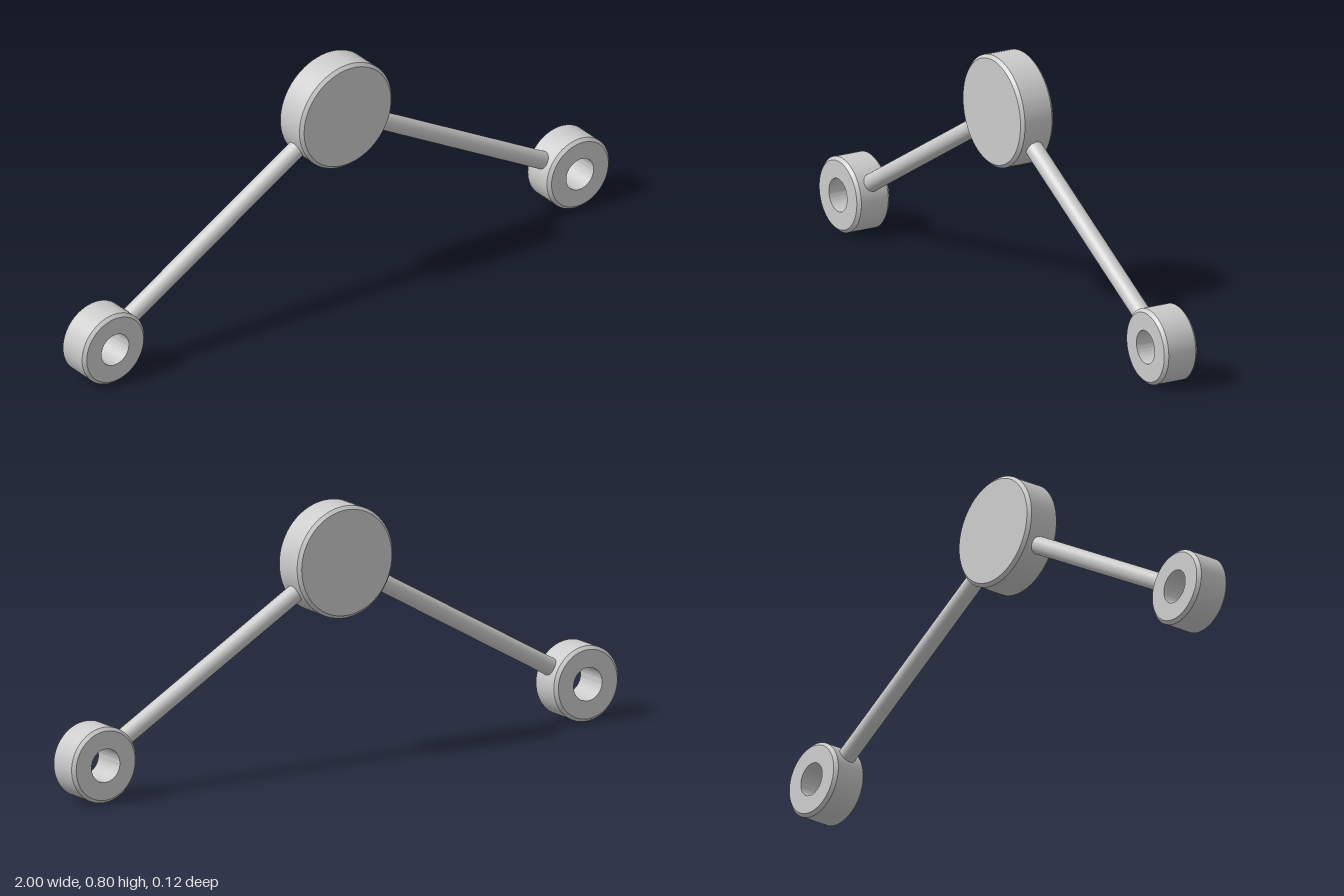
import * as THREE from 'three';
import { toCreasedNormals } from 'three/addons/utils/BufferGeometryUtils.js';

const HALF = 0.058, BEVEL = 0.01, ROD_RADIUS = 0.028;
const material = new THREE.MeshStandardMaterial({ color: 0xcccccc });

// Bevelled disc with its axis along z; a bore radius above 0 makes it a ring
function disc(name, radius, bore, x, y) {
  const profile = [
    [bore, -HALF], [radius - BEVEL, -HALF], [radius, -HALF + BEVEL],
    [radius, HALF - BEVEL], [radius - BEVEL, HALF], [bore, HALF],
  ];
  if (bore > 0) profile.push([bore, -HALF]);
  const points = profile.map(([r, h]) => new THREE.Vector2(r, h));
  const geometry = toCreasedNormals(new THREE.LatheGeometry(points, 64), 0.5);
  geometry.rotateX(Math.PI / 2);
  const mesh = new THREE.Mesh(geometry, material);
  mesh.name = name;
  mesh.position.set(x, y, 0);
  return mesh;
}

// Round rod between two points
function rod(name, from, to) {
  const axis = to.clone().sub(from);
  const mesh = new THREE.Mesh(
    new THREE.CylinderGeometry(ROD_RADIUS, ROD_RADIUS, axis.length(), 32), material);
  mesh.name = name;
  mesh.position.copy(from).lerp(to, 0.5);
  mesh.quaternion.setFromUnitVectors(new THREE.Vector3(0, 1, 0), axis.normalize());
  return mesh;
}

export function createModel() {
  const group = new THREE.Group();
  group.name = 'linkArm';

  // Solid central hub
  const hub = new THREE.Vector3(0, 0.625, 0);
  group.add(disc('hub', 0.175, 0, hub.x, hub.y));

  // Mirrored arms, each ending in a bored ring
  for (const [side, sign] of [['left', 1], ['right', -1]]) {
    const eye = new THREE.Vector3(sign * 0.882, 0.118, 0);
    const toHub = hub.clone().sub(eye).normalize();
    group.add(disc(side + 'EndRing', 0.118, 0.052, eye.x, eye.y));
    // The rod stops inside the ring wall and inside the hub
    group.add(rod(side + 'Rod',
      eye.clone().addScaledVector(toHub, 0.085),
      hub.clone().addScaledVector(toHub, -0.14)));
  }
  return group;
}
